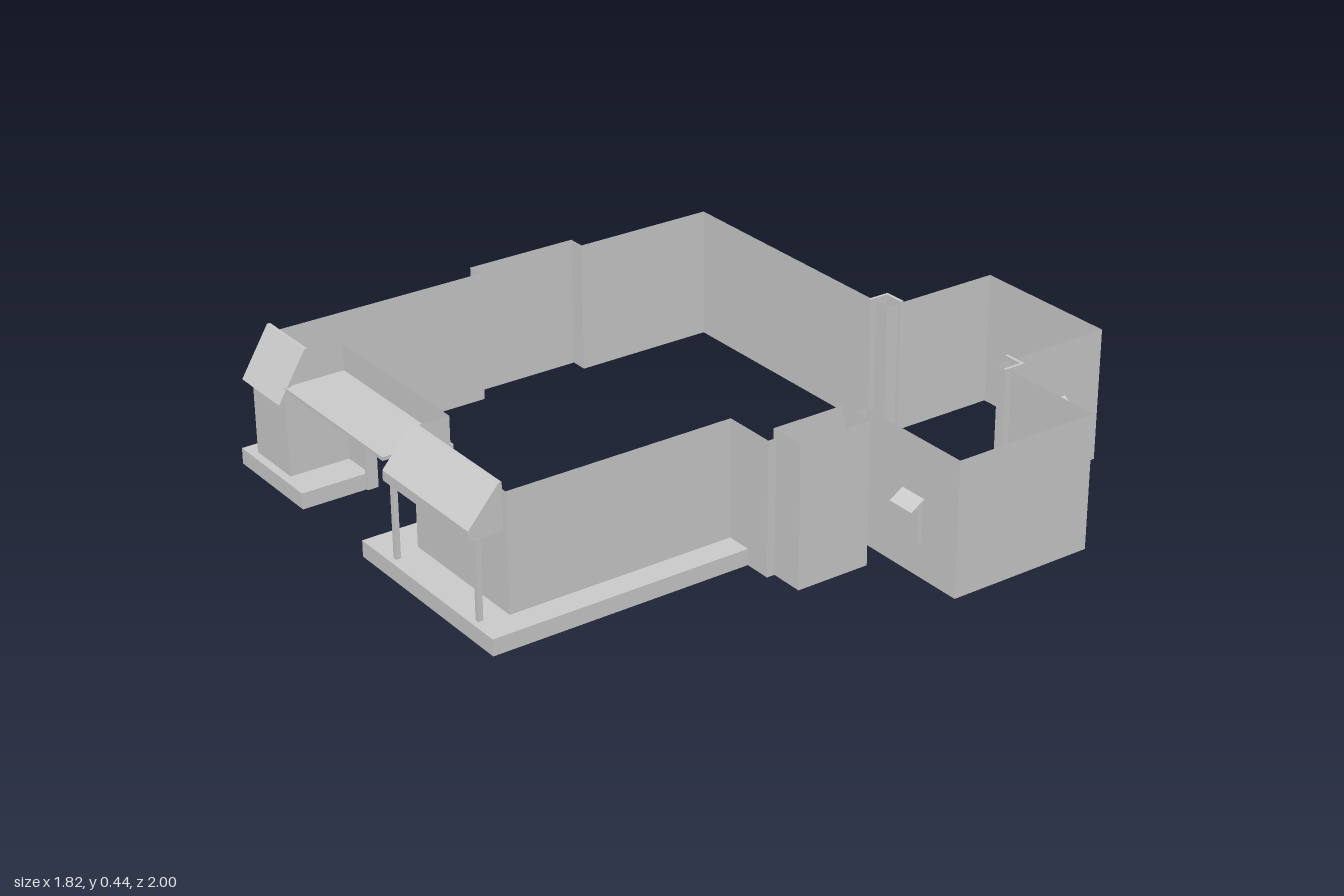
import * as THREE from 'three';
import { mergeGeometries } from 'three/addons/utils/BufferGeometryUtils.js';

const H = 0.41; // wall height

export function createModel() {
  const model = new THREE.Group();
  model.name = 'buildingShell';
  const plaster = new THREE.MeshStandardMaterial({ color: 0xcccccc, side: THREE.DoubleSide });
  plaster.name = 'light grey plaster';

  const add = (name, geometry) => {
    const mesh = new THREE.Mesh(geometry, plaster);
    mesh.name = name;
    model.add(mesh);
    return mesh;
  };

  // Thin upright wall following [x, z] points
  const wall = (name, points, y0 = 0, y1 = H) => {
    const panels = [];
    for (let i = 0; i + 1 < points.length; i++) {
      const [ax, az] = points[i], [bx, bz] = points[i + 1];
      const panel = new THREE.PlaneGeometry(Math.hypot(bx - ax, bz - az), y1 - y0);
      panel.rotateY(Math.atan2(az - bz, bx - ax));
      panel.translate((ax + bx) / 2, (y0 + y1) / 2, (az + bz) / 2);
      panels.push(panel);
    }
    return add(name, mergeGeometries(panels));
  };

  // Box given by its limits
  const block = (name, x0, x1, y0, y1, z0, z1) => {
    const g = new THREE.BoxGeometry(x1 - x0, y1 - y0, z1 - z0);
    return add(name, g.translate((x0 + x1) / 2, (y0 + y1) / 2, (z0 + z1) / 2));
  };

  const shapeOf = (pts) => new THREE.Shape(pts.map(([a, b]) => new THREE.Vector2(a, b)));

  // Side profile in [z, y], extruded from x0 to x1
  const prism = (name, profile, x0, x1) => {
    const g = new THREE.ExtrudeGeometry(shapeOf(profile), { depth: x1 - x0, bevelEnabled: false });
    return add(name, g.rotateY(-Math.PI / 2).translate(x1, 0, 0));
  };

  // Flat side wall in [z, y] at a fixed x
  const sideWall = (name, profile, x) =>
    add(name, new THREE.ShapeGeometry(shapeOf(profile)).rotateY(-Math.PI / 2).translate(x, 0, 0));

  // Plinth slab with a floor plan in [x, z]
  const plinth = (name, plan) => {
    const g = new THREE.ExtrudeGeometry(shapeOf(plan.map(([x, z]) => [x, -z])), { depth: 0.05, bevelEnabled: false });
    return add(name, g.rotateX(-Math.PI / 2));
  };

  // Outer walls: left side, back alcove, right side and front right room
  wall('leftAndBackWall', [
    [-0.85, 0.205], [-0.905, 0.205], [-0.905, -0.155], [-0.85, -0.155], [-0.85, -0.61], [0.045, -0.61],
  ]);
  wall('alcoveWall', [[0.045, -0.61], [0.045, -1], [0.525, -1], [0.525, -0.61]]);
  wall('rightWall', [
    [0.525, -0.61], [0.91, -0.61], [0.91, -0.145], [0.525, -0.145], [0.525, 0.185], [0.36, 0.185], [0.36, 0.895],
  ]);
  wall('frontRightWall', [[0.36, 0.895], [-0.095, 0.895], [-0.095, 0.78]]);

  // Left bay with sloped upper corner
  const baySide = (z0) => [[z0, 0], [0.97, 0], [0.97, 0.31], [0.91, H], [z0, H]];
  sideWall('leftBayOuterWall', baySide(0.205), -0.85);
  sideWall('leftBayInnerWall', baySide(0.78), -0.66);
  wall('leftBayFront', [[-0.85, 0.97], [-0.66, 0.97]], 0, 0.31);

  // Entrance wall with an open doorway, frame and canopy
  const entrance = shapeOf([
    [-0.66, 0], [-0.555, 0], [-0.555, 0.315], [-0.215, 0.315], [-0.215, 0], [-0.095, 0], [-0.095, H], [-0.66, H],
  ]);
  add('entranceWall', new THREE.ShapeGeometry(entrance).translate(0, 0, 0.78));
  block('entranceWallReturn', -0.215, -0.1, 0, 0.32, 0.768, 0.779);
  block('doorLintel', -0.545, -0.22, 0.26, 0.315, 0.755, 0.785);
  for (const x of [-0.555, -0.225]) block('doorJamb', x, x + 0.012, 0, 0.315, 0.755, 0.79);
  block('entranceCanopy', -0.66, -0.13, 0.317, 0.328, 0.78, 0.97);

  // Plinths
  plinth('leftPlinth', [[-0.9, 0.78], [-0.9, 0.995], [-0.55, 0.995], [-0.55, 0.78]]);
  plinth('rightPlinth', [
    [-0.215, 0.78], [-0.215, 0.998], [0.44, 0.998], [0.44, 0.16], [0.353, 0.16], [0.353, 0.89], [-0.1, 0.89], [-0.1, 0.78],
  ]);

  // Sloped awnings and porch posts
  prism('leftAwning', [[0.895, 0.43], [0.905, 0.43], [0.995, 0.282], [0.985, 0.275]], -0.865, -0.652);
  prism('rightAwning', [[0.895, 0.43], [0.905, 0.43], [1, 0.32], [1, 0.29], [0.895, 0.29]], -0.08, 0.343);
  for (const x of [-0.08, 0.33]) block('porchPost', x, x + 0.014, 0.05, 0.29, 0.965, 0.98);

  // Hollow chimney shaft on the right wall
  wall('chimneyShaft', [[0.515, 0.16], [0.63, 0.16], [0.63, -0.073], [0.515, -0.073], [0.515, 0.16]], 0, 0.435);

  // Corner pilasters beside the alcove, L-shaped in plan
  for (const [corner, s] of [[-0.015, 1], [0.58, -1]]) {
    const span = (a, b) => [corner + s * a, corner + s * b].sort((p, q) => p - q);
    block('alcovePilasterBack', ...span(0, 0.072), 0, 0.42, -0.66, -0.65);
    block('alcovePilasterSide', ...span(0, 0.009), 0, 0.42, -0.65, -0.59);
  }

  // Small windows with hoods, built facing +z then placed on the walls
  const smallWindow = (x, z, turn) => {
    const parts = [
      block('windowPanel', -0.035, 0.035, 0.105, 0.215, -0.008, 0.012),
      prism('windowHood', [[-0.008, 0.24], [0.002, 0.24], [0.045, 0.213], [0.045, 0.206], [-0.008, 0.232]], -0.045, 0.045),
    ];
    const group = new THREE.Group();
    group.name = 'smallWindow';
    group.add(...parts);
    group.position.set(x, 0, z);
    group.rotation.y = turn;
    model.add(group);
  };
  smallWindow(0.73, -0.145, 0);
  smallWindow(0.525, -0.825, Math.PI / 2);

  return model;
}
